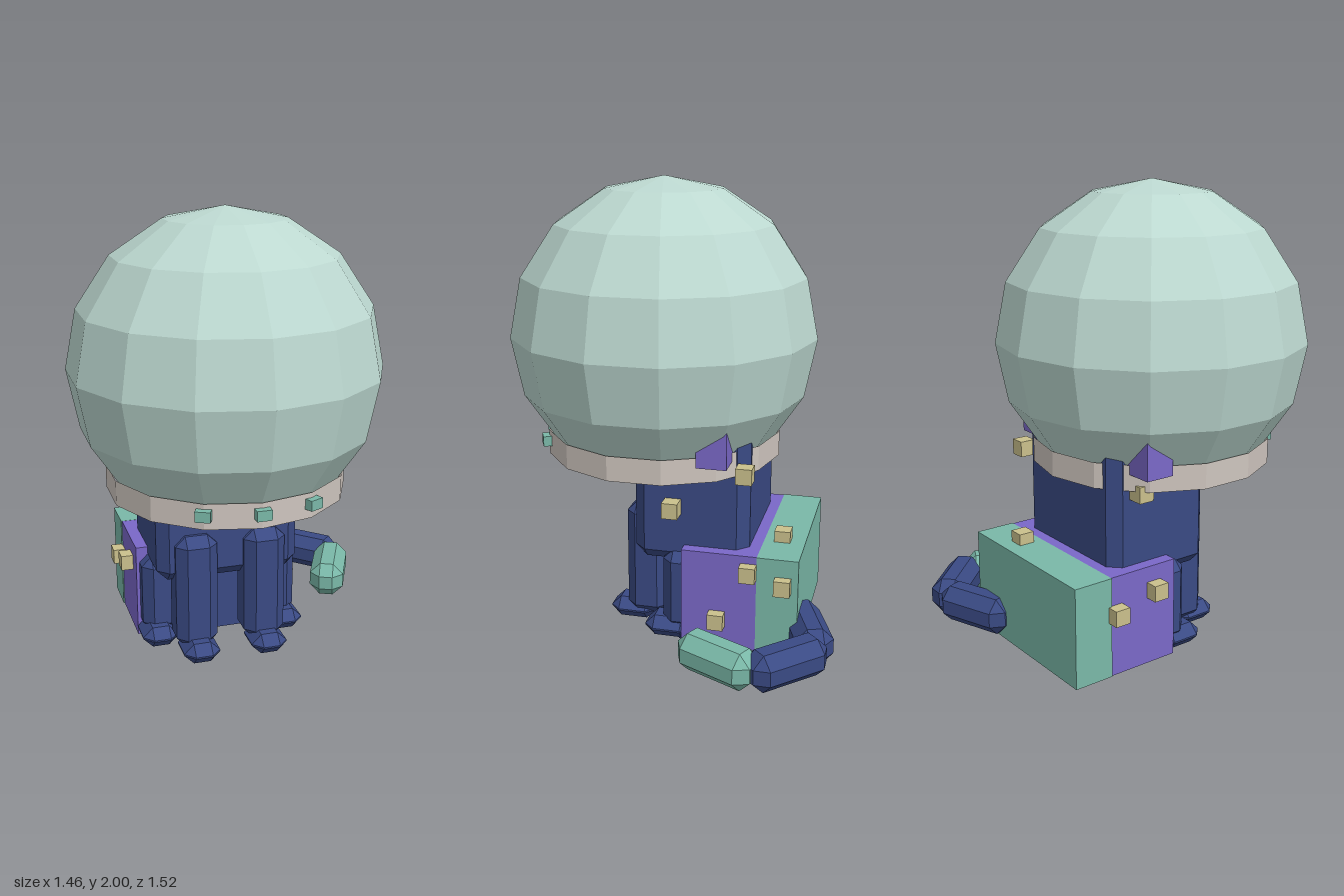
import * as THREE from 'three';
import { ConvexGeometry } from 'three/addons/geometries/ConvexGeometry.js';

function paint(name, color, extra = {}) {
  const m = new THREE.MeshStandardMaterial({ color, ...extra });
  m.name = name;
  return m;
}

// Box with every edge cut at 45 degrees
function chamferBox(w, h, d, c) {
  const pts = [];
  const [x, y, z] = [w / 2, h / 2, d / 2];
  for (const sx of [-1, 1]) for (const sy of [-1, 1]) for (const sz of [-1, 1]) {
    pts.push(
      new THREE.Vector3(sx * x, sy * (y - c), sz * (z - c)),
      new THREE.Vector3(sx * (x - c), sy * y, sz * (z - c)),
      new THREE.Vector3(sx * (x - c), sy * (y - c), sz * z));
  }
  return new ConvexGeometry(pts);
}

export function createModel() {
  const model = new THREE.Group();
  model.name = 'domeHeadedCreature';

  const domeMat = paint('paleMint', 0xbcd8d0, { flatShading: true });
  const teal = paint('teal', 0x7ab8a8);
  const navy = paint('navy', 0x3a4a84);
  const purple = paint('purple', 0x7a68c8);
  const collarMat = paint('warmGrey', 0xcec5be, { flatShading: true, side: THREE.DoubleSide });
  const tan = paint('tan', 0xcac08c);

  const CX = -0.065; // symmetry plane of the body
  const CZ = 0.08;   // axis of the head

  function add(name, geometry, material, x, y, z, ry = 0) {
    const mesh = new THREE.Mesh(geometry, material);
    mesh.name = name;
    mesh.position.set(x, y, z);
    mesh.rotation.y = ry;
    model.add(mesh);
    return mesh;
  }
  // Plain box from its limits
  function block(name, material, x0, x1, y0, y1, z0, z1) {
    return add(name, new THREE.BoxGeometry(x1 - x0, y1 - y0, z1 - z0), material,
      (x0 + x1) / 2, (y0 + y1) / 2, (z0 + z1) / 2);
  }

  // Head dome and open collar ring
  add('dome', new THREE.SphereGeometry(0.68, 14, 8), domeMat, CX, 1.32, CZ, Math.PI / 2);
  add('collar', new THREE.CylinderGeometry(0.525, 0.525, 0.11, 14, 1, true), collarMat, CX, 0.84, CZ);

  // Small studs on the front of the collar
  for (const i of [-1, 0, 1]) {
    const a = i * Math.PI / 7;
    add('collarStud', new THREE.BoxGeometry(0.064, 0.045, 0.06), teal,
      CX + 0.525 * Math.sin(a), 0.85, CZ + 0.525 * Math.cos(a), a);
  }

  // Purple corner blocks behind the collar
  for (const s of [-1, 1]) {
    add('neckBlock', new THREE.BoxGeometry(0.13, 0.17, 0.13), purple, CX + s * 0.395, 0.94, -0.235);
  }

  // Torso, belly and rear case
  add('torso', chamferBox(0.65, 0.64, 0.51, 0.05), navy, CX, 0.68, -0.115);
  block('belly', navy, -0.4, 0.27, 0, 0.38, -0.56, -0.07);
  block('middleCase', purple, -0.445, 0.315, 0.01, 0.449, -0.42, -0.09);
  block('rearCase', teal, -0.45, 0.32, 0.01, 0.45, -0.6, -0.42);

  // Four legs with feet
  const frontLeg = chamferBox(0.19, 0.535, 0.19, 0.045);
  const sideLeg = chamferBox(0.19, 0.37, 0.19, 0.045);
  const foot = chamferBox(0.165, 0.095, 0.21, 0.044);
  for (const s of [-1, 1]) {
    add('frontLeg', frontLeg, navy, CX + s * 0.157, 0.3175, 0.105);
    add('frontFoot', foot, navy, CX + s * 0.157, 0.055, 0.18);
    add('sideLeg', sideLeg, navy, CX + s * 0.27, 0.235, -0.09);
    add('sideFoot', foot, navy, CX + s * 0.3, 0.055, -0.02);
  }

  // Curled tail of three chamfered links: x, z, angle, material
  const link = chamferBox(0.37, 0.165, 0.165, 0.05);
  for (const [x, z, a, mat] of [
    [0.275, -0.64, 0.35, navy],
    [0.555, -0.59, -0.785, navy],
    [0.595, -0.315, -2.02, teal],
  ]) add('tailLink', link, mat, x, 0.11, z, a);

  // Little cubes stuck to the body
  const cube = new THREE.BoxGeometry(0.07, 0.07, 0.07);
  for (const [x, y, z] of [
    [0.3, 0.81, -0.36], [-0.425, 0.775, -0.25], [0.295, 0.625, -0.04],
    [0.33, 0.38, -0.385], [0.33, 0.335, -0.535], [0.33, 0.145, -0.25],
    [-0.465, 0.345, -0.2], [-0.465, 0.29, -0.4], [0.1, 0.465, -0.5],
  ]) add('bump', cube, tan, x, y, z);

  return model;
}
